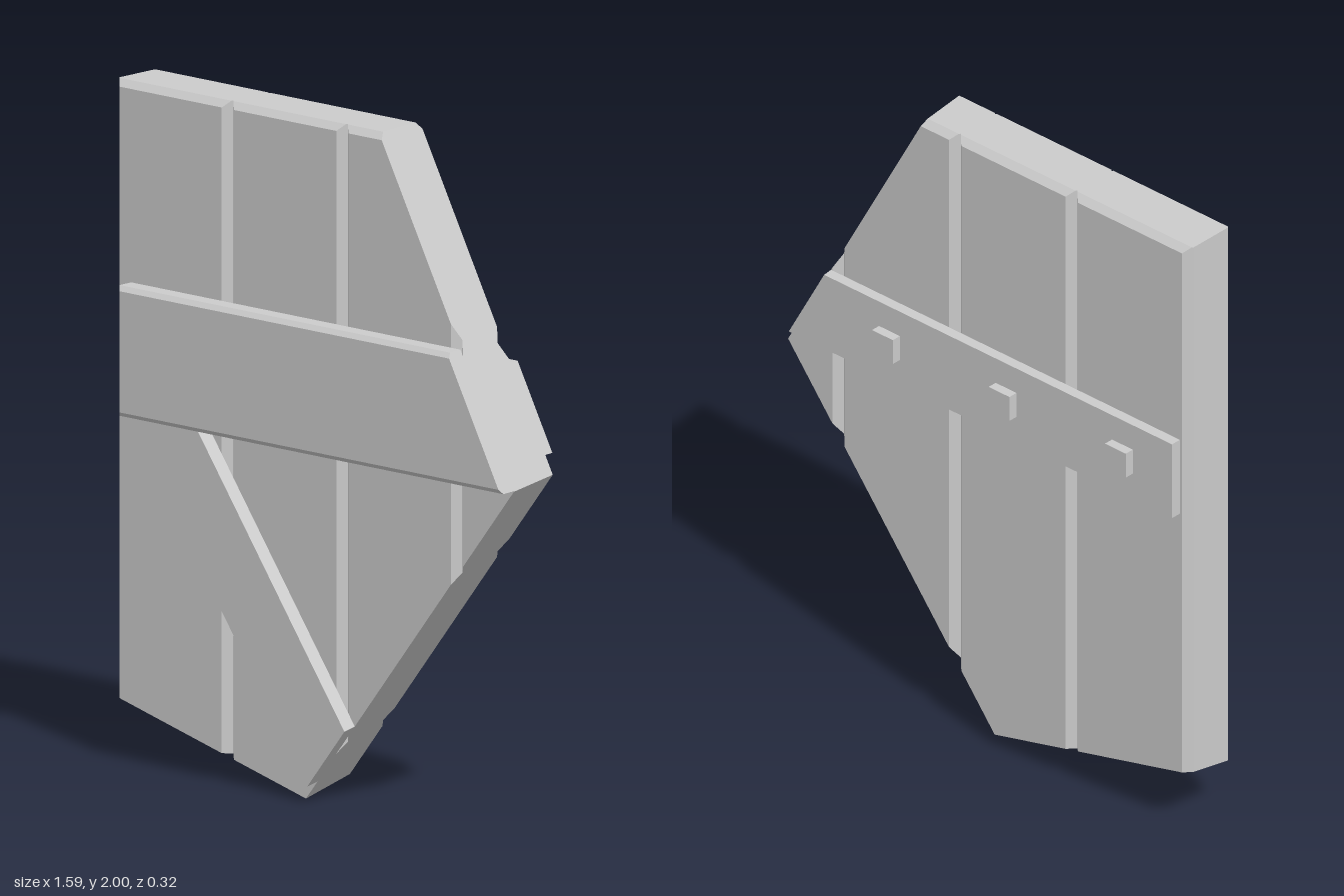
import * as THREE from 'three';
import { ConvexGeometry } from 'three/addons/geometries/ConvexGeometry.js';

const HALF = 0.0965; // half thickness of the planks

// A plane [a, b, c, d] keeps the points with a*x + b*y + c*z <= d.
const upperCut = [1, 0.55, -0.115, 1.343];
const lowerCut = [1.245, -1, -0.27, -0.0697];
const bottomCut = [-0.248, -1, -0.195, -0.0101];
const breaks = [upperCut, lowerCut, bottomCut];

// Six planes of an axis-aligned box
const box = (x0, x1, y0, y1, z0, z1) => [
  [-1, 0, 0, -x0], [1, 0, 0, x1], [0, -1, 0, -y0],
  [0, 1, 0, y1], [0, 0, -1, -z0], [0, 0, 1, z1],
];

// 45 degree bevel where two axis-aligned planes meet
const bevel = (p, q, size) => p.map((v, i) => v + q[i] - (i === 3 ? size : 0));

// Convex solid enclosed by planes: its corners are where three planes meet
function solid(input) {
  const planes = input.map(([a, b, c, d]) => {
    const n = new THREE.Vector3(a, b, c);
    const len = n.length();
    return { n: n.divideScalar(len), d: d / len };
  });
  const points = [];
  for (let i = 0; i < planes.length; i++)
    for (let j = i + 1; j < planes.length; j++)
      for (let k = j + 1; k < planes.length; k++) {
        const [p, q, r] = [planes[i], planes[j], planes[k]];
        const qr = q.n.clone().cross(r.n);
        const det = p.n.dot(qr);
        if (Math.abs(det) < 1e-5) continue;
        const v = qr.multiplyScalar(p.d)
          .addScaledVector(r.n.clone().cross(p.n), q.d)
          .addScaledVector(p.n.clone().cross(q.n), r.d)
          .divideScalar(det);
        if (planes.every((s) => s.n.dot(v) <= s.d + 1e-6) &&
            points.every((o) => o.distanceTo(v) > 1e-4)) points.push(v);
      }
  return new ConvexGeometry(points);
}

export function createModel() {
  const group = new THREE.Group();
  group.name = 'brokenDoor';
  const wood = new THREE.MeshStandardMaterial({ color: 0xcccccc });
  wood.name = 'paleGrey';

  const add = (name, geometry) => {
    const mesh = new THREE.Mesh(geometry, wood);
    mesh.name = name;
    group.add(mesh);
    return mesh;
  };

  // Upright planks, bevelled along the sides and top, snapped off by the breaks
  const seams = [-0.798, -0.345, 0.109, 0.563, 1.016];
  for (let i = 0; i < 4; i++) {
    const b = box(seams[i], seams[i + 1], -0.5, 2, -HALF, HALF);
    const [left, right, , top, back, front] = b;
    const bevels = [left, right, top].flatMap((side) =>
      [front, back].map((face) => bevel(side, face, side === top ? 0.02 : 0.024)));
    add('plank' + (i + 1), solid([...b, ...bevels, ...breaks]));
  }

  // Front crossbar with bevelled front edges
  const bar = box(-0.727, 1, 1.028, 1.412, HALF, 0.16);
  const barBevels = [bar[0], bar[2], bar[3]].map((side) => bevel(side, bar[5], 0.014));
  add('frontCrossbar', solid([...bar, ...barBevels, upperCut, lowerCut]));

  // Diagonal brace under the crossbar
  add('diagonalBrace', solid([
    [0.807, 0.59, 0, 0.27], [-0.807, -0.59, 0, -0.043],
    [-0.59, 0.807, 0, 1.151],
    [0, 0, 1, 0.145], [0, 0, -1, -HALF],
    lowerCut,
  ]));

  // Back batten and its square nail heads
  add('backBatten', solid([...box(-0.766, 1, 1.095, 1.345, -0.13, -HALF), upperCut]));
  for (const x of [-0.573, -0.12, 0.334]) {
    add('nailHead', new THREE.BoxGeometry(0.081, 0.081, 0.04)).position.set(x, 1.222, -0.14);
  }

  return group;
}
